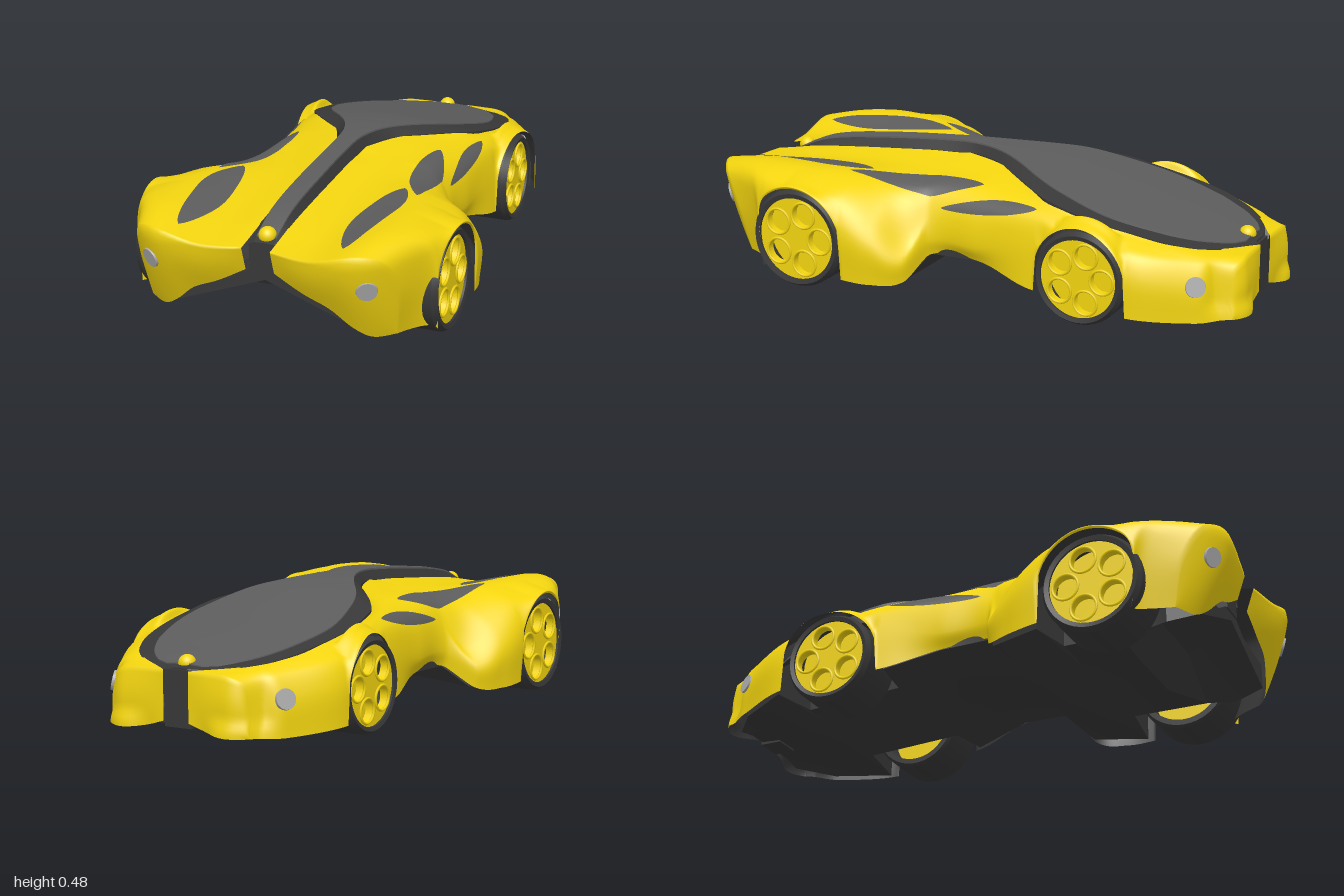
import * as THREE from 'three';
import { toCreasedNormals } from 'three/addons/utils/BufferGeometryUtils.js';

const mat = (color, side = THREE.FrontSide) => new THREE.MeshStandardMaterial({ color, side });
const YELLOW = mat(0xf2d40f), GREY = mat(0x5c5c5c, THREE.DoubleSide), DARK = mat(0x383838, THREE.DoubleSide);
const LINING = mat(0x383838, THREE.BackSide), LAMP = mat(0xaaaaaa, THREE.DoubleSide);
const V = (x, y, z) => new THREE.Vector3(x, y, z);
const smooth = THREE.MathUtils.smoothstep;

// Smooth (cubic) or straight interpolation of values over keys
function sample(keys, vals, z, linear = false) {
  const n = keys.length;
  let i = 0;
  while (i < n - 2 && z > keys[i + 1]) i++;
  const h = keys[i + 1] - keys[i], t = THREE.MathUtils.clamp((z - keys[i]) / h, 0, 1);
  if (linear) return vals[i] + (vals[i + 1] - vals[i]) * t;
  const slope = k => {
    const a = Math.max(k - 1, 0), b = Math.min(k + 1, n - 1);
    return (vals[b] - vals[a]) / (keys[b] - keys[a]);
  };
  const t2 = t * t, t3 = t2 * t;
  return (2 * t3 - 3 * t2 + 1) * vals[i] + (t3 - 2 * t2 + t) * h * slope(i)
    + (3 * t2 - 2 * t3) * vals[i + 1] + (t3 - t2) * h * slope(i + 1);
}

// Surface through rows of points
function skin(rows, crease = 0) {
  const w = rows[0].length, idx = [];
  for (let i = 0; i < rows.length - 1; i++)
    for (let j = 0; j < w - 1; j++) {
      const a = i * w + j, b = a + w;
      idx.push(a, b, a + 1, b, b + 1, a + 1);
    }
  const g = new THREE.BufferGeometry().setFromPoints(rows.flat());
  g.setIndex(idx);
  g.computeVertexNormals();
  return crease ? toCreasedNormals(g, crease) : g;
}

function add(parent, name, geometry, material) {
  const m = new THREE.Mesh(geometry, material);
  m.name = name;
  parent.add(m);
  return m;
}

// Body section curves, from the spine edge over the fender crown to the sill
const Z = [-0.97, -0.85, -0.65, -0.45, -0.25, -0.05, 0.14, 0.185, 0.29, 0.42, 0.6, 0.8, 0.9, 0.995];
const SX = [
  [.05, .23, .325, .343, .295, .14, .057, .05, .05, .05, .05, .05, .05, .05],
  [.12, .265, .345, .36, .32, .22, .18, .17, .17, .17, .18, .19, .19, .19],
  [.2, .295, .37, .375, .35, .30, .31, .335, .35, .375, .40, .39, .38, .36],
  [.25, .32, .415, .40, .375, .36, .365, .42, .48, .515, .53, .505, .475, .43],
  [.27, .35, .445, .415, .395, .38, .385, .485, .54, .56, .56, .535, .505, .46],
  [.28, .355, .45, .43, .405, .36, .37, .475, .535, .555, .555, .535, .50, .44]];
const SY = [
  [.25, .27, .315, .355, .40, .43, .44, .435, .43, .42, .405, .385, .37, .355],
  [.25, .265, .305, .345, .38, .41, .41, .41, .405, .40, .39, .375, .365, .355],
  [.245, .255, .295, .335, .36, .385, .385, .37, .38, .405, .42, .42, .41, .39],
  [.22, .235, .27, .31, .33, .33, .30, .22, .29, .355, .385, .385, .38, .365],
  [.14, .16, .20, .26, .25, .2, .2, .14, .2, .27, .32, .30, .28, .25],
  [.05, .045, .06, .08, .095, .145, .145, .07, .06, .07, .07, .07, .075, .085]];
const WHEELS = [
  { name: 'front', z: 0.585, y: 0.188, r: 0.178, arch: 0.188, x0: 0.34, x1: 0.545 },
  { name: 'rear', z: -0.46, y: 0.165, r: 0.165, arch: 0.176, x0: 0.24, x1: 0.44 }];

// Rakes the nose, rounds nose and tail in plan and flares the tail lip
function warp(p) {
  const w = smooth(p.z, 0.7, 0.985), t = smooth(-p.z, 0.85, 0.97);
  const d = p.x - 0.3, plan = (d > 0 ? 3 : 0.5) * d * d;
  p.z -= w * (0.35 * Math.max(0, 0.36 - p.y) + plan);
  p.z -= t * 0.025 * (1 - smooth(p.y, 0.05, 0.12)) * smooth(p.x, 0.1, 0.19);
  p.z += t * Math.min(0.05, 6 * Math.max(0, p.x - 0.2) ** 2);
  return p;
}

function section(z) {
  let low = sample(Z, SY[5], z);
  for (const w of WHEELS) {
    const d = Math.abs(z - w.z);
    if (d < w.arch) low = Math.max(low, w.y + Math.sqrt(w.arch ** 2 - d * d));
  }
  const lift = [0, 0, 0.03, 0.016, 0.008, 0];
  const pts = SX.map((xs, i) => V(sample(Z, xs, z),
    i === 5 ? low : i < 2 ? sample(Z, SY[i], z) : Math.max(sample(Z, SY[i], z), low + lift[i]), z));
  return new THREE.CatmullRomCurve3(pts).getPoints(30);
}

// Rows that close an end of the body down to its lower lip
function endCap(edge, lip, dir) {
  const target = new THREE.CatmullRomCurve3(lip.map(([x, y]) => V(x, y, edge[0].z))).getPoints(30);
  return Array.from({ length: 12 }, (_, k) => {
    const v = (k + 1) / 12;
    return edge.map((p, j) => {
      const q = p.clone().lerp(target[j], v);
      q.z += dir * 0.014 * Math.sin(Math.PI * v) * Math.sin(Math.PI * j / 30);
      return q;
    });
  });
}

function bodyRows() {
  const rows = Array.from({ length: 221 }, (_, i) => section(-0.97 + 1.965 * i / 220));
  const front = endCap(rows[220], [[.05, .27], [.15, .215], [.24, .175], [.31, .115], [.37, .08], [.44, .085]], 1);
  const back = endCap(rows[0], [[.05, .08], [.12, .06], [.2, .05], [.25, .05], [.27, .05], [.28, .05]], -1).reverse();
  return [...back, ...rows, ...front].map(r => r.map(warp));
}
const mirrorRows = rows => rows.map(r => r.map(p => V(-p.x, p.y, p.z)).reverse());

// Symmetric strip from half sections, with both ends closed
function strip(keys, halfSection, flip) {
  const rows = keys.map(z => {
    const h = halfSection(z);
    const pts = [...h.map(([x, y]) => V(-x, y, z)).reverse(), ...h.slice(1).map(([x, y]) => V(x, y, z))];
    return flip ? pts.reverse() : pts;
  });
  const close = r => r.map(p => V(0, (r[0].y + r[(r.length - 1) / 2].y) / 2, p.z));
  return skin([close(rows[0]), ...rows, close(rows[rows.length - 1])], 0.35);
}

// Leaf-shaped window laid on the body by casting rays onto it
function leaf(target, path, half, side, fromSide) {
  const ray = new THREE.Raycaster(), curve = new THREE.CatmullRomCurve3(path.map(p => V(...p)));
  const dir = fromSide ? V(-side, 0, 0) : V(0, -1, 0);
  let last = V(0, 0, 0);
  const rows = [];
  for (let i = 0; i <= 28; i++) {
    const c = curve.getPoint(i / 28), w = half * Math.sin(Math.PI * i / 28) ** 0.7, row = [];
    for (let j = -4; j <= 4; j++) {
      const s = w * j / 4;
      const from = fromSide ? V(side, c.y + s, c.z) : V(side * (c.x + s), 1, c.z);
      ray.set(from, dir);
      const hit = ray.intersectObject(target)[0];
      if (hit) last = hit.point.addScaledVector(hit.face.normal, 0.004);
      row.push(last.clone());
    }
    rows.push(side > 0 && !fromSide ? row : row.reverse());
  }
  return skin(rows);
}

function buildWheel(w, side) {
  const g = new THREE.Group();
  g.name = w.name + 'Wheel' + (side > 0 ? 'Left' : 'Right');
  const d = w.x1 - w.x0, r = w.r, inner = r * 0.84;
  // Hollow tyre drum
  const profile = [[inner, 0], [r - .008, 0], [r, .012], [r, d - .02], [r - .012, d], [inner, d - .004], [inner, 0]];
  const tyre = new THREE.LatheGeometry(profile.map(([a, b]) => new THREE.Vector2(a, b)), 48);
  add(g, 'tyre', toCreasedNormals(tyre.rotateX(Math.PI / 2), 0.5), DARK);
  // Rim with five round openings and a plate behind it
  const disc = new THREE.Shape().absarc(0, 0, inner, 0, Math.PI * 2);
  for (let k = 0; k < 5; k++) {
    const a = k * Math.PI * 0.4 + (side > 0 ? 0 : Math.PI), x = Math.cos(a) * r * 0.52, y = Math.sin(a) * r * 0.52;
    disc.holes.push(new THREE.Path().absarc(x, y, r * 0.25, 0, Math.PI * 2, true));
    add(g, 'rimRing', new THREE.TorusGeometry(r * 0.26, 0.005, 6, 28).translate(x, y, d - 0.01), YELLOW);
  }
  const rim = new THREE.ExtrudeGeometry(disc, { depth: 0.03, bevelEnabled: false, curveSegments: 28 });
  add(g, 'rim', rim.translate(0, 0, d - 0.042), YELLOW);
  const plate = new THREE.CylinderGeometry(inner, inner, 0.01, 40).rotateX(Math.PI / 2);
  add(g, 'rimPlate', plate.translate(0, 0, d - 0.08), YELLOW);
  g.rotation.y = side * Math.PI / 2;
  g.position.set(side * w.x0, w.y, w.z);
  return g;
}

export function createModel() {
  const car = new THREE.Group();
  car.name = 'car';
  const rows = bodyRows();
  for (const side of [1, -1]) {
    const geo = skin(side > 0 ? rows : mirrorRows(rows));
    const tag = side > 0 ? 'Left' : 'Right';
    const shell = add(car, 'bodyShell' + tag, geo, YELLOW);
    add(car, 'bodyLining' + tag, geo, LINING);
    // Windows and vents
    add(car, 'frontVent' + tag, leaf(shell, [[.3, 0, .4], [.302, 0, .55], [.285, 0, .74], [.29, 0, .93]], .06, side), GREY);
    add(car, 'midVent' + tag, leaf(shell, [[.275, 0, -.03], [.295, 0, .12], [.318, 0, .29], [.365, 0, .46]], .046, side), GREY);
    add(car, 'sideVent' + tag, leaf(shell, [[0, .36, -.27], [0, .342, -.09], [0, .318, .1]], .022, side, true), GREY);
    // Lamps set against the shell
    const ray = new THREE.Raycaster();
    for (const [name, from, dir] of [
      ['headlight', V(side * .38, .27, 2), V(0, 0, -1)],
      ['tailLamp', V(side * 2, .17, -.85), V(-side, 0, 0)]]) {
      ray.set(from, dir);
      const hit = ray.intersectObject(shell)[0];
      const lamp = add(car, name + tag, new THREE.CylinderGeometry(.034, .036, .01, 32), LAMP);
      lamp.position.copy(hit.point);
      lamp.quaternion.setFromUnitVectors(V(0, 1, 0), hit.face.normal);
    }
    for (const w of WHEELS) car.add(buildWheel(w, side));
  }

  // Raised spine widening into the teardrop canopy, with a lighter top panel
  const cz = [-.95, -.93, -.9, -.85, -.8, -.7, -.5, -.3, -.2, -.1, 0, .1, .2, .5, .75, .9];
  const outer = [.05, .11, .175, .235, .275, .32, .348, .325, .265, .185, .105, .062, .052, .05, .05, .05];
  const inner = [.03, .06, .12, .175, .212, .26, .297, .255, .21, .14, .08, .046, .035, .035, .035, .035];
  const top = [.26, .267, .275, .29, .302, .328, .376, .426, .45, .466, .476, .48, .478, .455, .42, .36];
  const stations = Array.from({ length: 75 }, (_, i) => -0.95 + 1.85 * i / 74);
  const panel = (z, drop) => {
    const y = sample(cz, top, z) - drop, wi = sample(cz, inner, z);
    return [[0, y], [wi, y - 0.06 * wi]];
  };
  add(car, 'canopyFrame', strip(stations, z => {
    const p = panel(z, 0.004), wo = sample(cz, outer, z) + 0.002;
    const edge = Math.min(sample(Z, SY[0], z), p[0][1] - 0.012);
    return [...p, [wo, edge], [wo, edge - 0.05]];
  }), DARK);
  add(car, 'canopyPanel', strip(stations.slice(1, -1), z => {
    const p = panel(z, 0);
    return [...p, [p[1][0] + 0.002, p[1][1] - 0.012]];
  }), GREY);

  // Underbody tub, narrow between the wheels
  const fz = [-.955, -.85, -.66, -.64, -.28, -.26, -.05, .14, .19, .38, .4, .6, .68, .78, .89];
  const mid = [.07, .065, .06, .065, .09, .095, .11, .105, .1, .08, .075, .07, .2, .215, .255];
  const flat = [.12, .15, .15, .14, .14, .14, .14, .14, .14, .14, .14, .14, .14, .12, .05];
  const wide = [.2, .325, .43, .24, .24, .395, .355, .36, .45, .52, .33, .33, .33, .36, .33];
  const sill = [.055, .05, .06, .07, .09, .095, .145, .145, .07, .065, .08, .08, .08, .08, .1];
  const wall = [.15, .15, .16, .3, .36, .2, .22, .22, .14, .2, .38, .385, .385, .37, .19];
  add(car, 'underbody', strip(fz, z => {
    const [m, f, w, s, t] = [mid, flat, wide, sill, wall].map(v => sample(fz, v, z, true));
    return [[0, m], [f, m], [w, s], [w, t]];
  }, true), DARK);
  // Dark filler blocks in the nose and tail notches
  add(car, 'noseFiller', new THREE.BoxGeometry(.104, .1, .12).translate(0, .3, .835), DARK);
  add(car, 'tailFiller', new THREE.BoxGeometry(.104, .19, .08).translate(0, .155, -.92), DARK);

  // Marker domes on the spine
  for (const [name, y, z] of [['frontMarker', .37, .865], ['rearMarker', .265, -.905]])
    add(car, name, new THREE.SphereGeometry(.03, 24, 16).translate(0, y, z), YELLOW);
  return car;
}
